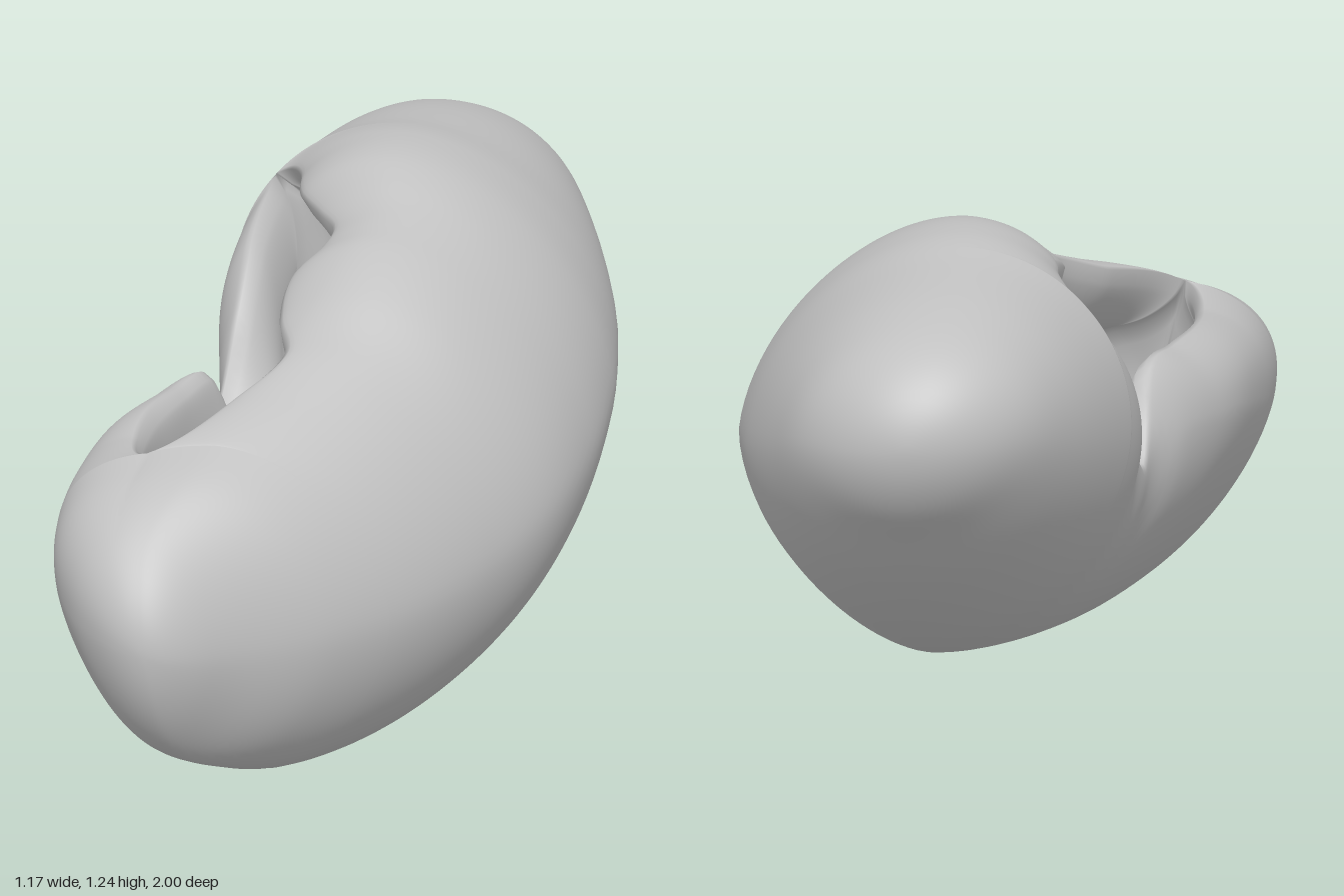
import * as THREE from 'three';
import { mergeVertices } from 'three/addons/utils/BufferGeometryUtils.js';

// Body extents along z: z, xMin, xMax, yMin, yMax
const BODY = [
  [-1, 0.12, 0.12, 0.92, 0.92], [-0.95, -0.05, 0.285, 0.765, 1.055], [-0.85, -0.16, 0.39, 0.65, 1.135],
  [-0.7, -0.245, 0.465, 0.49, 1.185], [-0.5, -0.325, 0.535, 0.33, 1.22], [-0.35, -0.37, 0.565, 0.235, 1.245],
  [-0.2, -0.385, 0.58, 0.16, 1.235], [0, -0.44, 0.565, 0.085, 1.175], [0.2, -0.535, 0.51, 0.035, 1.10],
  [0.4, -0.57, 0.385, 0.005, 0.97], [0.6, -0.585, 0.225, 0.015, 0.85], [0.75, -0.575, 0.07, 0.065, 0.77],
  [0.87, -0.52, -0.11, 0.135, 0.67], [0.95, -0.45, -0.21, 0.235, 0.575], [1, -0.33, -0.33, 0.42, 0.42],
];

// Rims of the opening along z: z, outer rim x, y, inner rim x, y
const RIM = [
  [-0.43, -0.25, 1.09, -0.25, 1.09], [-0.34, -0.31, 0.98, -0.19, 1.15], [-0.22, -0.33, 0.82, -0.17, 1.15],
  [-0.14, -0.35, 0.66, -0.11, 1.14], [-0.07, -0.37, 0.57, -0.06, 1.13], [0, -0.37, 0.66, -0.08, 1.10],
  [0.07, -0.36, 0.79, -0.14, 1.05], [0.2, -0.40, 0.80, -0.14, 1.0], [0.35, -0.44, 0.80, -0.10, 0.97],
  [0.5, -0.44, 0.79, -0.22, 0.89], [0.64, -0.38, 0.79, -0.38, 0.79],
];
const Z0 = RIM[0][0], Z1 = RIM[RIM.length - 1][0];
const { clamp, smoothstep, lerp } = THREE.MathUtils;

// Smooth table lookup, parametrised by angle so that both ends round off
function lookup(table, z) {
  const n = table.length, lo = table[0][0], hi = table[n - 1][0];
  const angle = (v) => Math.acos(clamp(1 - 2 * (v - lo) / (hi - lo), -1, 1));
  const a = table.map((row) => angle(row[0])), p = angle(z);
  let i = 0;
  while (i < n - 2 && p > a[i + 1]) i++;
  const h = a[i + 1] - a[i], t = (p - a[i]) / h;
  const slope = (k, c) => {
    const k0 = Math.max(0, k - 1), k1 = Math.min(n - 1, k + 1);
    return (table[k1][c] - table[k0][c]) / (a[k1] - a[k0]);
  };
  return [1, 2, 3, 4].map((c) =>
    (1 + 2 * t) * (1 - t) ** 2 * table[i][c] + t * (1 - t) ** 2 * h * slope(i, c)
    + t * t * (3 - 2 * t) * table[i + 1][c] + t * t * (t - 1) * h * slope(i + 1, c));
}

function oval(z) {
  const [x0, x1, y0, y1] = lookup(BODY, z);
  return {
    cx: (x0 + x1) / 2, cy: (y0 + y1) / 2, a: (x1 - x0) / 2, b: (y1 - y0) / 2,
    front: smoothstep(z, -0.3, 0.5), back: 1 - smoothstep(z, -0.8, -0.2),
  };
}
const lean = (o, s) => (s > 0 ? 0.12 : lerp(0.12, 0.22, o.front)) * s;

// Each quadrant has its own fullness; the front half lifts on its outer side
function ovalPoint(o, th) {
  const c = Math.cos(th), s = Math.sin(th);
  const n = s > 0
    ? (c > 0 ? lerp(1.82, 2.1, o.back) : lerp(1.95, 2.5, o.front))
    : (c > 0 ? lerp(1.54, 1.85, o.back) : 1.95);
  const r = 1 / (Math.abs(c) ** n + Math.abs(s) ** n) ** (1 / n);
  const lift = c < 0 ? 0.2 * o.front * c * c * (1 - Math.max(0, s)) : 0;
  return [o.cx + o.a * r * (c - lean(o, s)), o.cy + o.b * (r * s + lift)];
}
function rimAngle(o, x, y) {
  const v = (y - o.cy) / o.b;
  const th = Math.atan2(v, (x - o.cx) / o.a + lean(o, v));
  return th < 0 ? th + 2 * Math.PI : th;
}

// One C-shaped section: outer skin and inner wall, from the inner rim round to the outer rim
const M = 110;
function section(z) {
  const zc = clamp(z, Z0, Z1), o = oval(z), oc = oval(zc);
  const [lx, ly, rx, ry] = lookup(RIM, zc);
  const thL = rimAngle(oc, lx, ly), thR = rimAngle(oc, rx, ry);
  const eL = ovalPoint(oc, thL), eR = ovalPoint(oc, thR);
  const fade = 1 - smoothstep(Math.abs(z - zc), 0, 0.25);
  const open = z === zc ? Math.min(1, Math.hypot(lx - rx, ly - ry) / 0.25) : 0;
  // The cavity lies nearer to the opening than to the far side
  const core = [o.cx - 0.25 * o.a, o.cy + 0.1 * o.b];
  const outer = [], inner = [];
  for (let j = 0; j <= M; j++) {
    const u = j / M, t = 0.4 * u + 0.3 * (1 - Math.cos(Math.PI * u));
    const p = ovalPoint(o, thR + (thL - 2 * Math.PI - thR) * t);
    const wR = fade * Math.max(0, 1 - t / 0.18) ** 2, wL = fade * Math.max(0, 1 - (1 - t) / 0.2) ** 2;
    p[0] += wR * (rx - eR[0]) + wL * (lx - eL[0]);
    p[1] += wR * (ry - eR[1]) + wL * (ly - eL[1]);
    // Quarter-round lip on both faces of the wall
    const e = Math.min(1, Math.min(t, 1 - t) / 0.09);
    const w = Math.sqrt(Math.max(0, 1 - (1 - e) ** 2));
    const so = 1 - 0.08 * open * (1 - w);
    const si = so - 0.42 * w;
    const reach = 0.04 * w * (z - (Z0 + Z1) / 2);
    outer.push([core[0] + (p[0] - core[0]) * so, core[1] + (p[1] - core[1]) * so, z]);
    inner.push([core[0] + (p[0] - core[0]) * si, core[1] + (p[1] - core[1]) * si, z + reach]);
  }
  return { outer, inner, core };
}

// Rows spaced closer towards both ends of a range
function rows(from, to, count) {
  return Array.from({ length: count + 1 }, (_, i) =>
    i === 0 ? from : i === count ? to : from + (to - from) * (1 - Math.cos(Math.PI * i / count)) / 2);
}

function addGrid(grid, pos, idx, flip) {
  const base = pos.length / 3, w = grid[0].length;
  grid.forEach((row) => row.forEach((p) => pos.push(...p)));
  for (let i = 0; i < grid.length - 1; i++) {
    for (let j = 0; j < w - 1; j++) {
      const a = base + i * w + j, b = a + w, c = a + 1, d = b + 1;
      if (flip) idx.push(a, c, b, b, c, d);
      else idx.push(a, b, c, b, d, c);
    }
  }
}

export function createModel() {
  const group = new THREE.Group();
  group.name = 'hollowBean';
  const grey = new THREE.MeshStandardMaterial({ color: 0xc0c0c0, side: THREE.DoubleSide });
  grey.name = 'plainGrey';

  const middle = rows(Z0, Z1, 90).map(section);
  const back = rows(-1, Z0, 36).slice(0, -1).map(section);
  const front = rows(Z1, 1, 30).slice(1).map(section);

  // Cavity wall, closed at both ends by rounded caps
  const cap = (s, dir) => [0.9, 0.7, 0.4, 0].map((k) => s.inner.map((p) => [
    s.core[0] + (p[0] - s.core[0]) * k, s.core[1] + (p[1] - s.core[1]) * k, p[2] + dir * 0.06 * Math.sqrt(1 - k * k)]));
  const cavity = [
    ...cap(middle[0], -1).reverse(),
    ...middle.map((s) => s.inner),
    ...cap(middle[middle.length - 1], 1),
  ];

  const pos = [], idx = [];
  addGrid([...back, ...middle, ...front].map((s) => s.outer), pos, idx, false);
  addGrid(cavity, pos, idx, true);
  let geo = new THREE.BufferGeometry();
  geo.setAttribute('position', new THREE.Float32BufferAttribute(pos, 3));
  geo.setIndex(idx);
  geo = mergeVertices(geo, 1e-5);
  geo.computeVertexNormals();

  const body = new THREE.Mesh(geo, grey);
  body.name = 'hollowBody';
  group.add(body);
  return group;
}
